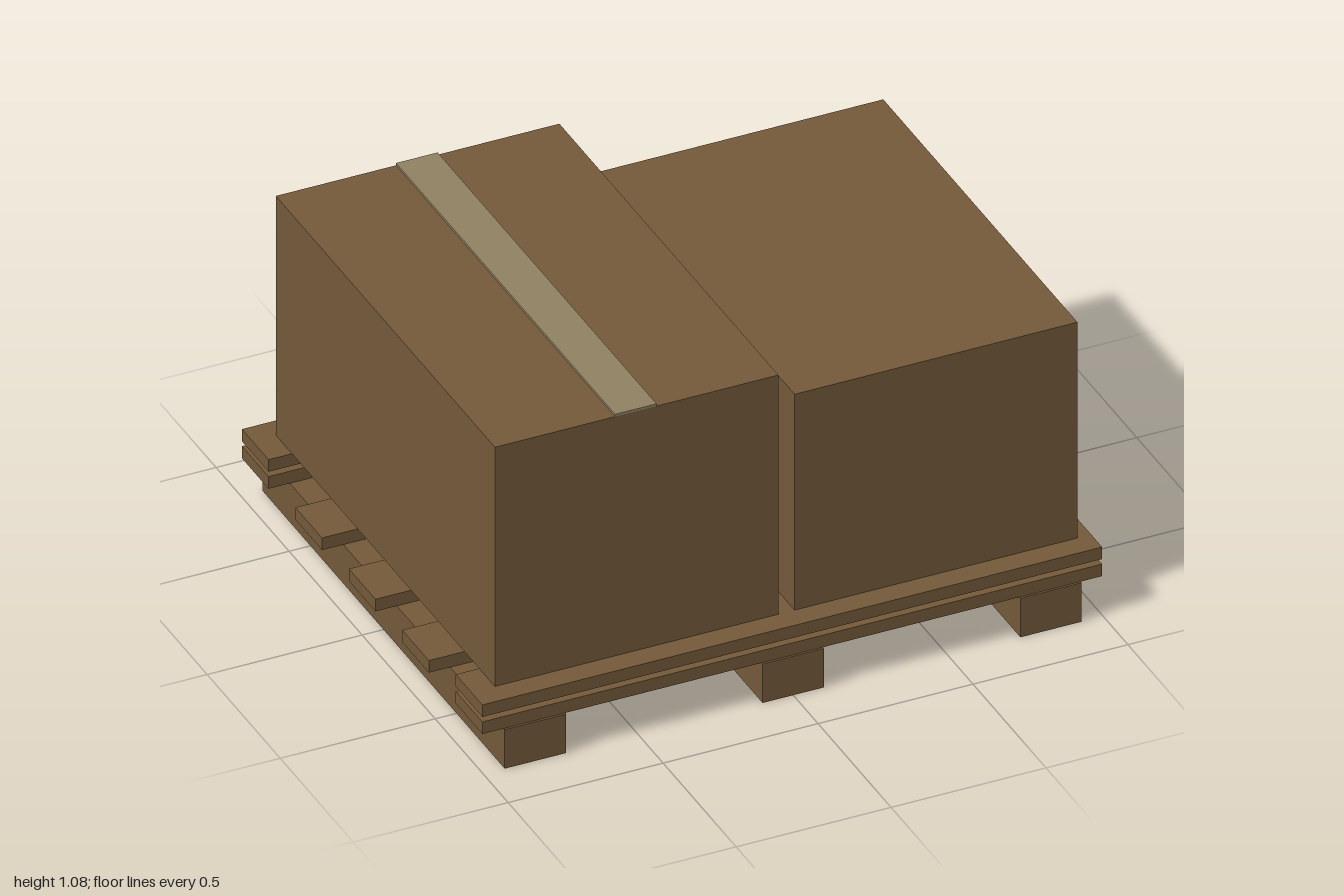
import * as THREE from 'three';

export function createModel() {
  const model = new THREE.Group();
  model.name = 'loadedPallet';

  const brown = new THREE.MeshStandardMaterial({ color: 0x745a3a });
  brown.name = 'cardboard and wood brown';
  const tan = new THREE.MeshStandardMaterial({ color: 0x908262 });
  tan.name = 'tape tan';

  // Box given by its extents along each axis
  function block(name, [x0, x1], [y0, y1], [z0, z1], material, parent) {
    const mesh = new THREE.Mesh(new THREE.BoxGeometry(x1 - x0, y1 - y0, z1 - z0), material);
    mesh.position.set((x0 + x1) / 2, (y0 + y1) / 2, (z0 + z1) / 2);
    mesh.name = name;
    parent.add(mesh);
  }

  const pallet = new THREE.Group();
  pallet.name = 'pallet';
  model.add(pallet);

  // Three runners from front to back
  for (const x of [-0.832, 0, 0.832]) {
    block('runner', [x - 0.099, x + 0.099], [0, 0.135], [-0.83, 0.83], brown, pallet);
  }

  // Five deck slats across the runners
  for (let i = -2; i <= 2; i++) {
    const z = i * 0.366;
    block('deckSlat', [-1, 1], [0.135, 0.177], [z - 0.091, z + 0.091], brown, pallet);
  }

  // Raised slats over the front and back edges
  for (const z of [-0.732, 0.732]) {
    block('raisedSlat', [-1, 1], [0.194, 0.236], [z - 0.091, z + 0.091], brown, pallet);
  }

  // Two cartons, the taller one taped along its top
  block('tallCarton', [-0.925, -0.01], [0.237, 1.067], [-0.75, 0.75], brown, model);
  block('shortCarton', [0.042, 0.955], [0.237, 0.986], [-0.58, 0.75], brown, model);
  block('tape', [-0.537, -0.403], [1.067, 1.075], [-0.75, 0.75], tan, model);

  return model;
}
